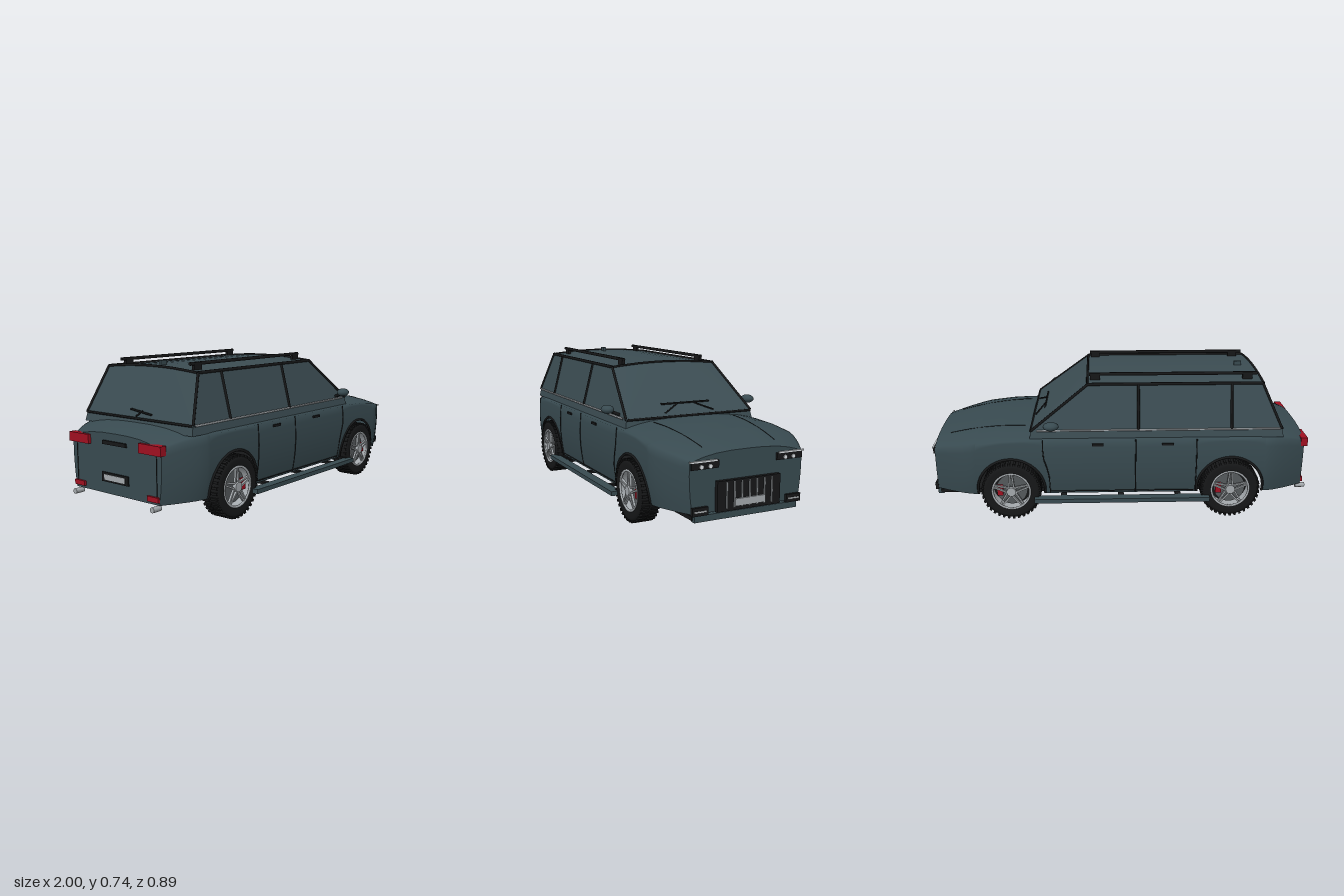
import * as THREE from 'three';
import { mergeGeometries } from 'three/addons/utils/BufferGeometryUtils.js';
import { ConvexGeometry } from 'three/addons/geometries/ConvexGeometry.js';

const mat = (name, color, side = THREE.FrontSide) => {
  const m = new THREE.MeshStandardMaterial({ color, side });
  m.name = name;
  return m;
};
const paint = mat('slate paint', 0x384a50, THREE.DoubleSide);
const glass = mat('tinted glass', 0x3b4c52);
const black = mat('black trim', 0x161718, THREE.DoubleSide);
const grey = mat('brake grey', 0x55595c);
const silver = mat('silver', 0xa4a9ad, THREE.DoubleSide);
const white = mat('lamp white', 0xdfe3e6);
const red = mat('red', 0xa01020);

const V = (x, y, z) => new THREE.Vector3(x, y, z);
const END = 0.97, WX = 0.57, WY = 0.155, ARCH = 0.174;

// Body surface rules: centreline height, half width, lower edge
const TOP = [[-0.97, 0.42], [-0.9, 0.443], [-0.82, 0.46], [-0.7, 0.468], [0.5, 0.468], [0.62, 0.463],
  [0.75, 0.447], [0.87, 0.423], [0.97, 0.4]];
function topMid(x) {
  let i = 0;
  while (i < TOP.length - 2 && x > TOP[i + 1][0]) i++;
  const [a, b] = [TOP[i], TOP[i + 1]];
  return THREE.MathUtils.mapLinear(x, a[0], b[0], a[1], b[1]);
}
const halfWidth = (x) => 0.39 - 0.09 * Math.pow(Math.max(0, (Math.abs(x) - 0.77) / 0.2), 1.3);
const sideZ = (x, y) => halfWidth(x) * (1 - 0.06 * ((y - 0.32) / 0.2) ** 2);
const topY = (x, z) => topMid(x) - 0.04 * (Math.abs(z) / sideZ(x, topMid(x) - 0.04)) ** 3;
function bottomY(x) {
  const d = Math.abs(x) - WX;
  return Math.abs(d) <= ARCH ? WY + Math.sqrt(ARCH * ARCH - d * d) : 0.13;
}

// One cross-section from the left sill over the top to the right sill
function section(x) {
  const half = [], yb = bottomY(x), ys = topMid(x) - 0.04;
  for (let k = 0; k < 8; k++) {
    const y = yb + (ys - yb) * k / 8;
    half.push([sideZ(x, y), y]);
  }
  for (const u of [1, 0.95, 0.87, 0.75, 0.55, 0.28]) {
    const z = u * sideZ(x, ys);
    half.push([z, topY(x, z)]);
  }
  return [...half, [0, topMid(x)], ...half.map(([z, y]) => [-z, y]).reverse()];
}

function bodyShell() {
  const xs = [];
  for (let i = 0; i <= 48; i++) {
    const x = -END + 2 * END * i / 48;
    if (Math.abs(Math.abs(x) - WX) > ARCH + 0.004) xs.push(x);
  }
  for (const c of [-WX, WX]) {
    xs.push(c - ARCH - 0.001, c + ARCH + 0.001);
    for (let i = 0; i <= 24; i++) xs.push(c - 0.9999 * ARCH * Math.cos(Math.PI * i / 24));
  }
  xs.sort((a, b) => a - b);
  const pos = [], idx = [], n = section(0).length;
  xs.forEach((x, i) => {
    section(x).forEach(([z, y]) => pos.push(x, y, z));
    if (i === xs.length - 1) return;
    for (let j = 0; j < n - 1; j++) {
      const a = i * n + j, b = a + n;
      idx.push(a, b, b + 1, a, b + 1, a + 1);
    }
  });
  const g = new THREE.BufferGeometry();
  g.setAttribute('position', new THREE.Float32BufferAttribute(pos, 3));
  g.setIndex(idx);
  g.computeVertexNormals();
  return g;
}

function add(parent, name, geo, material, x = 0, y = 0, z = 0) {
  const m = new THREE.Mesh(geo, material);
  m.name = name;
  m.position.set(x, y, z);
  parent.add(m);
  return m;
}
const box = (p, name, material, [w, h, d], [x, y, z]) =>
  add(p, name, new THREE.BoxGeometry(w, h, d), material, x, y, z);
function line(p, name, material, pts, r = 0.003) {
  const path = new THREE.CurvePath();
  for (let i = 1; i < pts.length; i++) path.add(new THREE.LineCurve3(pts[i - 1], pts[i]));
  const curve = pts.length > 2 ? new THREE.CatmullRomCurve3(pts) : path;
  return add(p, name, new THREE.TubeGeometry(curve, Math.max(1, (pts.length - 1) * 2), r, 6), material);
}

// Wheel with its outer face towards +z
function wheel(side) {
  const w = new THREE.Group();
  w.name = 'wheel';
  const prof = [[0.1, -0.046], [0.13, -0.05], [0.146, -0.044], [0.15, -0.03], [0.15, 0.03], [0.146, 0.044],
    [0.13, 0.05], [0.1, 0.046]].map(([r, y]) => new THREE.Vector2(r, y));
  add(w, 'tyre', new THREE.LatheGeometry(prof, 48).rotateX(Math.PI / 2), black);
  const lugs = [];
  for (let i = 0; i < 36; i++) {
    for (const s of [-1, 1]) {
      const lug = new THREE.BoxGeometry(0.012, 0.012, 0.042).translate(0, 0.149, s * 0.026);
      lugs.push(lug.rotateZ((i + s * 0.25) * Math.PI / 18));
    }
  }
  add(w, 'tread', mergeGeometries(lugs), black);
  const disc = (name, r, d, z, m) => add(w, name, new THREE.CylinderGeometry(r, r, d, 32).rotateX(Math.PI / 2), m, 0, 0, z);
  disc('innerDisc', 0.1, 0.01, -0.03, black);
  disc('brakeDisc', 0.082, 0.01, 0.012, grey);
  add(w, 'rim', new THREE.TorusGeometry(0.097, 0.006, 8, 40), silver, 0, 0, 0.044);
  add(w, 'barrel', new THREE.CylinderGeometry(0.1, 0.1, 0.08, 32, 1, true).rotateX(Math.PI / 2), silver);
  box(w, 'caliper', red, [0.03, 0.055, 0.016], [side * 0.06, 0, 0.024]);
  const spokes = [];
  for (let i = 0; i < 5; i++) {
    for (const s of [-1, 1]) {
      spokes.push(new THREE.BoxGeometry(0.008, 0.08, 0.012).rotateZ(s * 0.1)
        .translate(s * 0.009, 0.058, 0.04).rotateZ(i * Math.PI * 0.4));
    }
  }
  add(w, 'spokes', mergeGeometries(spokes), silver);
  disc('hub', 0.024, 0.02, 0.044, silver);
  return w;
}

function buildCabin(car) {
  const cabin = new THREE.Group();
  cabin.name = 'cabin';
  car.add(cabin);
  const pts = [];
  for (const s of [-1, 1]) {
    pts.push(V(-0.84, 0.43, s * 0.366), V(0.47, 0.43, s * 0.366), V(-0.83, 0.475, s * 0.358), V(0.46, 0.475, s * 0.358));
  }
  for (let i = 0; i <= 8; i++) {
    const z = -0.3 + 0.6 * i / 8, y = 0.717 - 0.017 * (z / 0.3) ** 2;
    pts.push(V(-0.73, y, z), V(0.17, y, z));
  }
  add(cabin, 'greenhouse', new ConvexGeometry(pts), glass);
  // Point on the side glass
  const S = (x, y, s) => V(x, y, s * (0.36 - 0.058 * (y - 0.475) / 0.225));
  for (const s of [-1, 1]) {
    line(cabin, 'windscreenPillar', black, [S(0.46, 0.475, s), S(0.17, 0.7, s)], 0.007);
    line(cabin, 'rearPillar', black, [S(-0.83, 0.475, s), S(-0.73, 0.7, s)], 0.007);
    line(cabin, 'roofEdge', black, [S(-0.73, 0.702, s), S(0.17, 0.702, s)], 0.008);
    for (const x of [-0.57, -0.09]) line(cabin, 'doorPillar', black, [S(x, 0.475, s), S(x, 0.7, s)], 0.007);
    line(cabin, 'beltTrim', silver, [S(-0.82, 0.474, s), S(0.43, 0.474, s)], 0.005);
    // Roof rails on feet
    line(cabin, 'roofRail', black, [V(-0.71, 0.736, s * 0.232), V(0.16, 0.736, s * 0.232)], 0.009);
    for (const x of [-0.66, 0.13]) box(cabin, 'railFoot', black, [0.05, 0.04, 0.016], [x, 0.722, s * 0.232]);
    // Door mirrors
    const m = add(cabin, 'mirror', new THREE.SphereGeometry(1, 16, 10), paint, 0.355, 0.515, s * 0.412);
    m.scale.set(0.04, 0.022, 0.032);
    line(cabin, 'mirrorArm', black, [V(0.37, 0.485, s * 0.352), V(0.36, 0.505, s * 0.395)], 0.009);
    // Front wiper arm
    line(cabin, 'wiperArm', black, [V(0.45, 0.49, s * 0.14), V(0.403, 0.525, s * 0.05)], 0.004);
  }
  for (const [x, y, w] of [[0.463, 0.472, 0.358], [0.17, 0.702, 0.3], [-0.833, 0.475, 0.358], [-0.733, 0.702, 0.3]]) {
    const arc = y > 0.6 ? 0.017 : 0;
    line(cabin, 'glassFrame', black, [-1, -0.5, 0, 0.5, 1].map((u) => V(x, y + arc * (1 - u * u), u * w)), 0.006);
  }
  line(cabin, 'wiperBlade', black, [V(0.4, 0.528, -0.14), V(0.4, 0.528, 0.14)], 0.005);
  line(cabin, 'rearWiper', black, [V(-0.83, 0.5, 0.1), V(-0.82, 0.515, -0.05)], 0.005);
  line(cabin, 'rearWiperArm', black, [V(-0.835, 0.485, 0), V(-0.82, 0.512, 0.03)], 0.004);
  box(cabin, 'antenna', paint, [0.04, 0.024, 0.014], [-0.65, 0.727, 0]);
}

function buildFront(car) {
  const f = new THREE.Group();
  f.name = 'frontEnd';
  car.add(f);
  box(f, 'grille', black, [0.02, 0.14, 0.336], [0.98, 0.2, 0]);
  for (let i = -3; i <= 3; i++) box(f, 'grilleBar', silver, [0.006, 0.12, 0.006], [0.993, 0.203, i * 0.04]);
  box(f, 'frontPlate', silver, [0.008, 0.034, 0.16], [0.996, 0.167, 0]);
  box(f, 'bumperLip', paint, [0.03, 0.03, 0.55], [0.96, 0.108, 0]);
  for (const s of [-1, 1]) {
    box(f, 'headlight', black, [0.012, 0.034, 0.14], [0.973, 0.347, s * 0.225]);
    box(f, 'lightStrip', white, [0.008, 0.007, 0.14], [0.978, 0.365, s * 0.235]);
    for (const z of [0.2, 0.245]) {
      add(f, 'lamp', new THREE.CylinderGeometry(0.01, 0.01, 0.008, 16).rotateZ(Math.PI / 2), white, 0.98, 0.341, s * z);
    }
    box(f, 'fogLamp', black, [0.016, 0.038, 0.08], [0.976, 0.143, s * 0.25]);
    box(f, 'fogStrip', white, [0.006, 0.007, 0.06], [0.986, 0.143, s * 0.25]);
  }
}

function buildRear(car) {
  const r = new THREE.Group();
  r.name = 'rearEnd';
  car.add(r);
  box(r, 'rearPlateFrame', black, [0.008, 0.045, 0.18], [-0.973, 0.21, 0]);
  box(r, 'rearPlate', silver, [0.006, 0.026, 0.14], [-0.977, 0.21, 0]);
  box(r, 'tailgateHandle', black, [0.01, 0.018, 0.16], [-0.974, 0.375, 0]);
  for (const s of [-1, 1]) {
    box(r, 'tailLight', red, [0.035, 0.045, 0.14], [-0.968, 0.378, s * 0.24]);
    box(r, 'reflector', red, [0.012, 0.024, 0.07], [-0.975, 0.155, s * 0.25]);
    add(r, 'exhaust', new THREE.CylinderGeometry(0.013, 0.013, 0.05, 16).rotateZ(Math.PI / 2), silver, -0.974, 0.113, s * 0.265);
    line(r, 'tailgateSeam', black, [V(-0.971, 0.14, s * 0.27), V(-0.971, 0.35, s * 0.27)], 0.002);
  }
}

export function createModel() {
  const car = new THREE.Group();
  car.name = 'car';
  add(car, 'body', bodyShell(), paint);
  for (const s of [-1, 1]) {
    const shape = new THREE.Shape(section(s * END).map(([z, y]) => new THREE.Vector2(z, y)));
    add(car, s > 0 ? 'nosePanel' : 'tailPanel', new THREE.ShapeGeometry(shape), paint, s * END).rotation.y = s * Math.PI / 2;
  }
  box(car, 'floor', black, [1.7, 0.02, 0.56], [0.11, 0.11, 0]);
  for (const s of [-1, 1]) {
    const P = (x, y) => V(x, y, s * sideZ(x, y));
    for (const c of [-WX, WX]) {
      const w = wheel(s);
      w.position.set(c, WY, s * 0.355);
      w.rotation.y = s > 0 ? 0 : Math.PI;
      car.add(w);
      const arc = [];
      for (let i = 0; i <= 16; i++) {
        const a = Math.PI * (i / 16 * 1.08 - 0.04);
        arc.push(P(c + ARCH * Math.cos(a), WY + ARCH * Math.sin(a)));
      }
      line(car, 'archTrim', black, arc, 0.007);
    }
    // Door seams, handles and hood creases
    for (const x of [-0.39, -0.075]) line(car, 'doorSeam', black, [0.135, 0.23, 0.33, 0.43].map((y) => P(x, y)), 0.003);
    line(car, 'frontDoorSeam', black, [P(0.37, 0.135), P(0.375, 0.25), P(0.4, 0.34), P(0.4, 0.43)], 0.003);
    line(car, 'sillSeam', black, [P(-0.39, 0.142), P(0.37, 0.142)], 0.003);
    for (const x of [-0.24, 0.12]) box(car, 'doorHandle', black, [0.06, 0.012, 0.014], [x, 0.405, s * sideZ(x, 0.405)]);
    line(car, 'hoodCrease', black, [0.5, 0.6, 0.7, 0.8, 0.9].map((x) => {
      const z = s * (0.23 - 0.09 * (x - 0.5));
      return V(x, topY(x, z), z);
    }), 0.002);
    // Running boards
    box(car, 'runningBoard', paint, [0.91, 0.022, 0.05], [-0.005, 0.112, s * 0.41]);
    for (const x of [-0.3, 0, 0.3]) box(car, 'boardBracket', black, [0.03, 0.012, 0.13], [x, 0.115, s * 0.33]);
  }
  buildCabin(car);
  buildFront(car);
  buildRear(car);
  return car;
}
